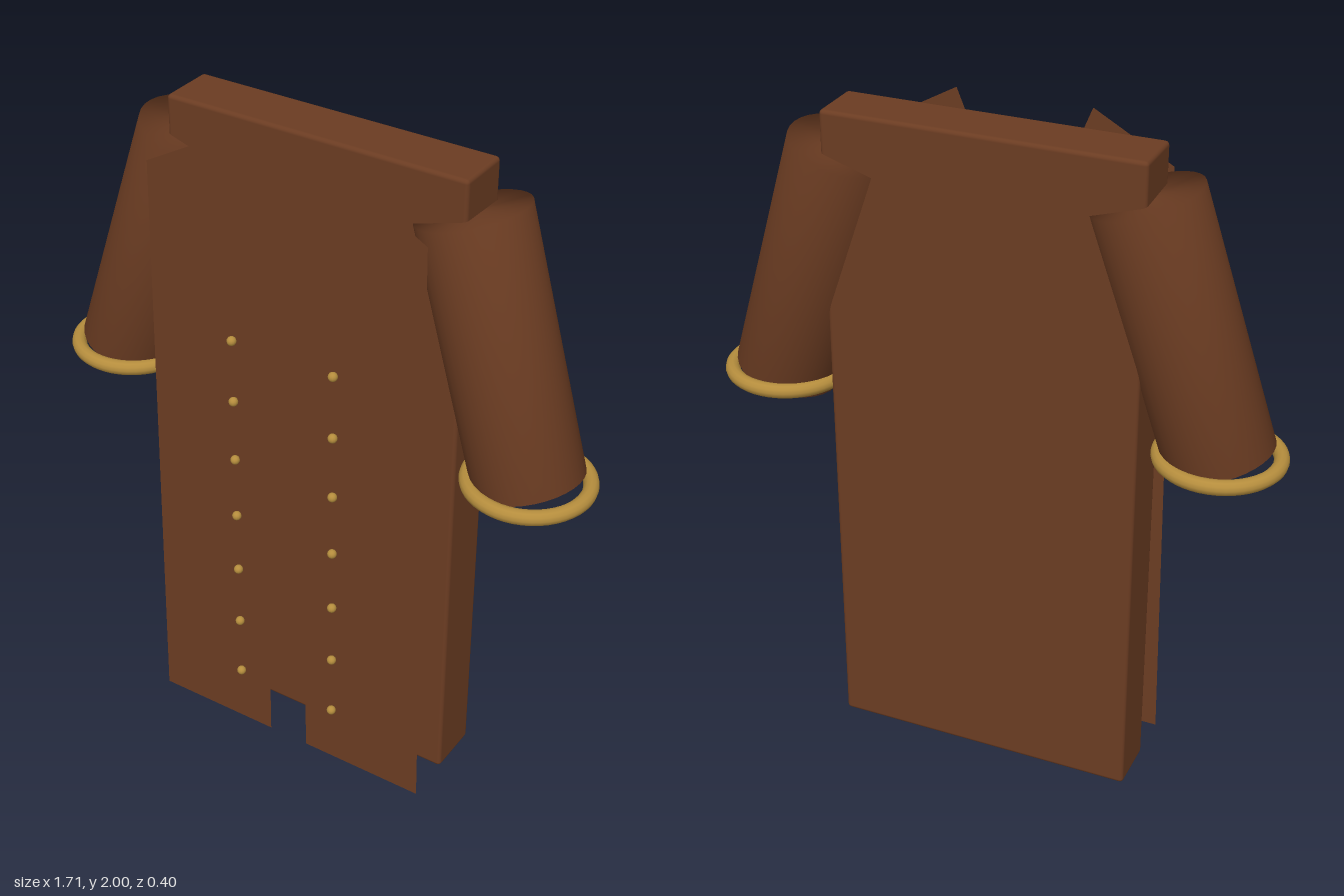
import * as THREE from 'three';
import { mergeVertices } from 'three/addons/utils/BufferGeometryUtils.js';
import { RoundedBoxGeometry } from 'three/addons/geometries/RoundedBoxGeometry.js';

export function createModel() {
  const coat = new THREE.Group();
  coat.name = 'coat';
  const cloth = new THREE.MeshStandardMaterial({ color: 0x6b3c22, side: THREE.DoubleSide });
  cloth.name = 'brown cloth';
  const brass = new THREE.MeshStandardMaterial({ color: 0xb58d3d });
  brass.name = 'brass';

  const add = (name, geometry, material, x = 0, y = 0, z = 0) => {
    const mesh = new THREE.Mesh(geometry, material);
    mesh.name = name;
    mesh.position.set(x, y, z);
    coat.add(mesh);
    return mesh;
  };

  // Body slab with slightly softened edges
  add('body', new RoundedBoxGeometry(0.93, 2, 0.17, 2, 0.012), cloth, 0, 1, -0.045);

  // Sleeve cylinder whose shading runs softly over the rims
  let sleeveGeometry = new THREE.CylinderGeometry(0.157, 0.157, 1, 32);
  sleeveGeometry.deleteAttribute('normal');
  sleeveGeometry.deleteAttribute('uv');
  sleeveGeometry = mergeVertices(sleeveGeometry);
  sleeveGeometry.computeVertexNormals();

  const cuffGeometry = new THREE.TorusGeometry(0.168, 0.022, 12, 48).rotateX(Math.PI / 2);
  const buttonGeometry = new THREE.SphereGeometry(0.014, 12, 8);
  const up = new THREE.Vector3(0, 1, 0);

  for (const [side, s] of [['left', 1], ['right', -1]]) {
    // Thin front panel with a slanted neckline and shoulder
    const outline = [[0.065, 0], [0.463, 0], [0.434, 1.87], [0.2, 2], [0.065, 1.67]];
    const shape = new THREE.Shape(outline.map(([x, y]) => new THREE.Vector2(s * x, y)));
    add(side + 'FrontPanel', new THREE.ShapeGeometry(shape), cloth, 0, 0, 0.177);

    // Sleeve slanting outward from the shoulder
    const top = new THREE.Vector3(s * 0.437, 1.873, -0.045);
    const bottom = new THREE.Vector3(s * 0.666, 1.139, -0.012);
    const axis = top.clone().sub(bottom);
    const centre = top.clone().add(bottom).multiplyScalar(0.5);
    const geometry = sleeveGeometry.clone().scale(1, axis.length(), 1);
    const sleeve = add(side + 'Sleeve', geometry, cloth, centre.x, centre.y, centre.z);
    sleeve.quaternion.setFromUnitVectors(up, axis.normalize());

    // Level cuff ring
    add(side + 'Cuff', cuffGeometry, brass, s * 0.666, 1.137, -0.012);

    // Row of buttons
    for (let i = 1; i <= 7; i++) {
      add(side + 'Button' + i, buttonGeometry, brass, s * 0.165, i * 0.2, 0.188);
    }
  }
  return coat;
}
